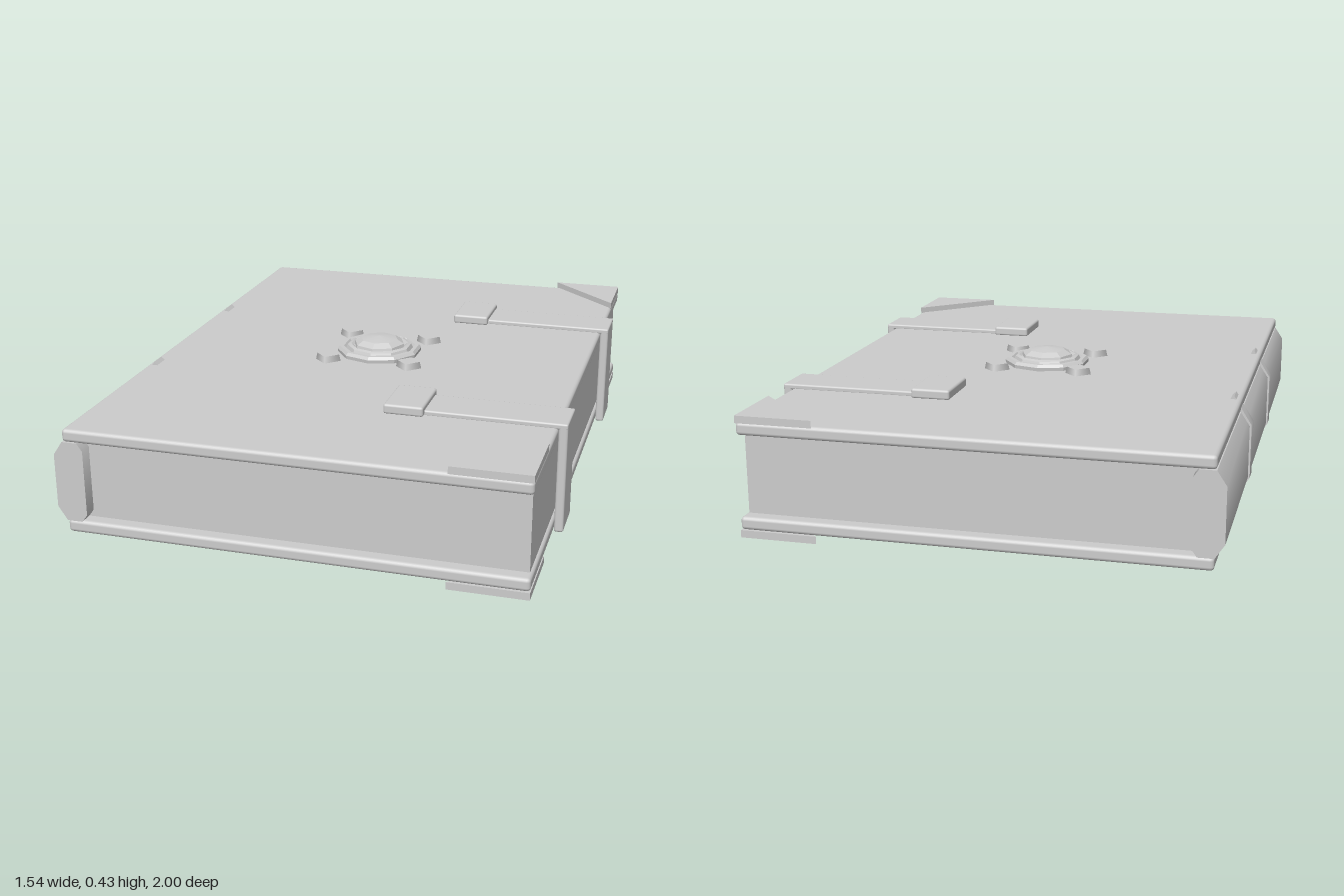
import * as THREE from 'three';
import { toCreasedNormals } from 'three/addons/utils/BufferGeometryUtils.js';
import { RoundedBoxGeometry } from 'three/addons/geometries/RoundedBoxGeometry.js';

export function createModel() {
  const book = new THREE.Group();
  book.name = 'book';
  const grey = new THREE.MeshStandardMaterial({ color: 0xcccccc });
  grey.name = 'plain grey';

  const add = (name, geometry, x = 0, y = 0, z = 0) => {
    const mesh = new THREE.Mesh(geometry, grey);
    mesh.name = name;
    mesh.position.set(x, y, z);
    book.add(mesh);
    return mesh;
  };
  // Box given by its limits on each axis, with softened edges if r > 0
  const block = (name, [x0, x1], [y0, y1], [z0, z1], r = 0) => {
    const size = [x1 - x0, y1 - y0, z1 - z0];
    const geometry = r ? new RoundedBoxGeometry(...size, 2, r) : new THREE.BoxGeometry(...size);
    return add(name, geometry, (x0 + x1) / 2, (y0 + y1) / 2, (z0 + z1) / 2);
  };
  // Outline in x and y, extruded along z about a centre
  const extrudeZ = (points, depth) => {
    const shape = new THREE.Shape(points.map(p => new THREE.Vector2(...p)));
    const geometry = new THREE.ExtrudeGeometry(shape, { depth, bevelEnabled: false });
    return toCreasedNormals(geometry.translate(0, 0, -depth / 2), 0.9);
  };

  // Page block and the two covers
  block('pages', [-0.7, 0.725], [0.06, 0.335], [-0.955, 0.955]);
  block('topCover', [-0.735, 0.735], [0.33, 0.372], [-1, 1], 0.012);
  block('bottomCover', [-0.735, 0.735], [0.025, 0.067], [-1, 1], 0.012);

  // Rounded spine
  add('spine', extrudeZ([
    [-0.765, 0.11], [-0.735, 0.065], [-0.685, 0.065], [-0.667, 0.09],
    [-0.667, 0.305], [-0.685, 0.33], [-0.735, 0.33], [-0.765, 0.285],
  ], 2));

  // Raised bands hooked around the spine and over both cover edges
  const mid = 0.1985;
  const outer = [[-0.7, 0.372], [-0.712, 0.383], [-0.74, 0.337], [-0.771, 0.288]];
  const inner = [[-0.758, 0.28], [-0.73, 0.325], [-0.705, 0.36]];
  const flip = points => points.map(([x, y]) => [x, 2 * mid - y]).reverse();
  const bandOutline = [...outer, ...flip(outer), ...flip(inner), ...inner];
  for (const z of [-0.335, 0.335]) {
    add('spineBand', extrudeZ(bandOutline, 0.062), 0, 0, z);
  }

  for (const side of [-1, 1]) {
    // Clasps: end block, strap over the cover, strap down the fore-edge
    const z = side * 0.5;
    block('claspEnd', [0.18, 0.31], [0.37, 0.403], [z - 0.097, z + 0.097], 0.008);
    block('claspStrap', [0.3, 0.765], [0.368, 0.387], [z - 0.076, z + 0.076], 0.006);
    block('claspDrop', [0.735, 0.765], [0.02, 0.385], [z - 0.076, z + 0.076], 0.008);

    // Triangular corner guards above and below
    const corner = new THREE.Shape([
      new THREE.Vector2(0.485, side), new THREE.Vector2(0.735, side),
      new THREE.Vector2(0.735, side * 0.755),
    ]);
    for (const [name, top] of [['topCorner', 0.393], ['bottomCorner', 0.024]]) {
      const guard = new THREE.ExtrudeGeometry(corner, { depth: 0.024, bevelEnabled: false });
      add(name, guard.rotateX(Math.PI / 2), 0, top, 0);
    }
  }

  // Stepped ten-sided medallion
  const lathe = (points, sides) => {
    const geometry = new THREE.LatheGeometry(points.map(p => new THREE.Vector2(...p)), sides);
    return toCreasedNormals(geometry, 0.3);
  };
  add('medallion', lathe([
    [0.148, 0.368], [0.15, 0.384], [0.142, 0.394], [0.128, 0.394], [0.12, 0.384],
    [0.114, 0.398], [0.102, 0.402], [0.092, 0.395], [0, 0.395],
  ], 10));

  // Faceted gem
  add('gem', lathe([[0.094, 0.39], [0.09, 0.406], [0.066, 0.42], [0, 0.43]], 8));

  // Four diamond studs around the medallion
  for (const x of [-0.146, 0.146]) {
    for (const z of [-0.146, 0.146]) {
      add('stud', new THREE.CylinderGeometry(0.04, 0.046, 0.026, 4), x, 0.382, z);
    }
  }
  return book;
}
